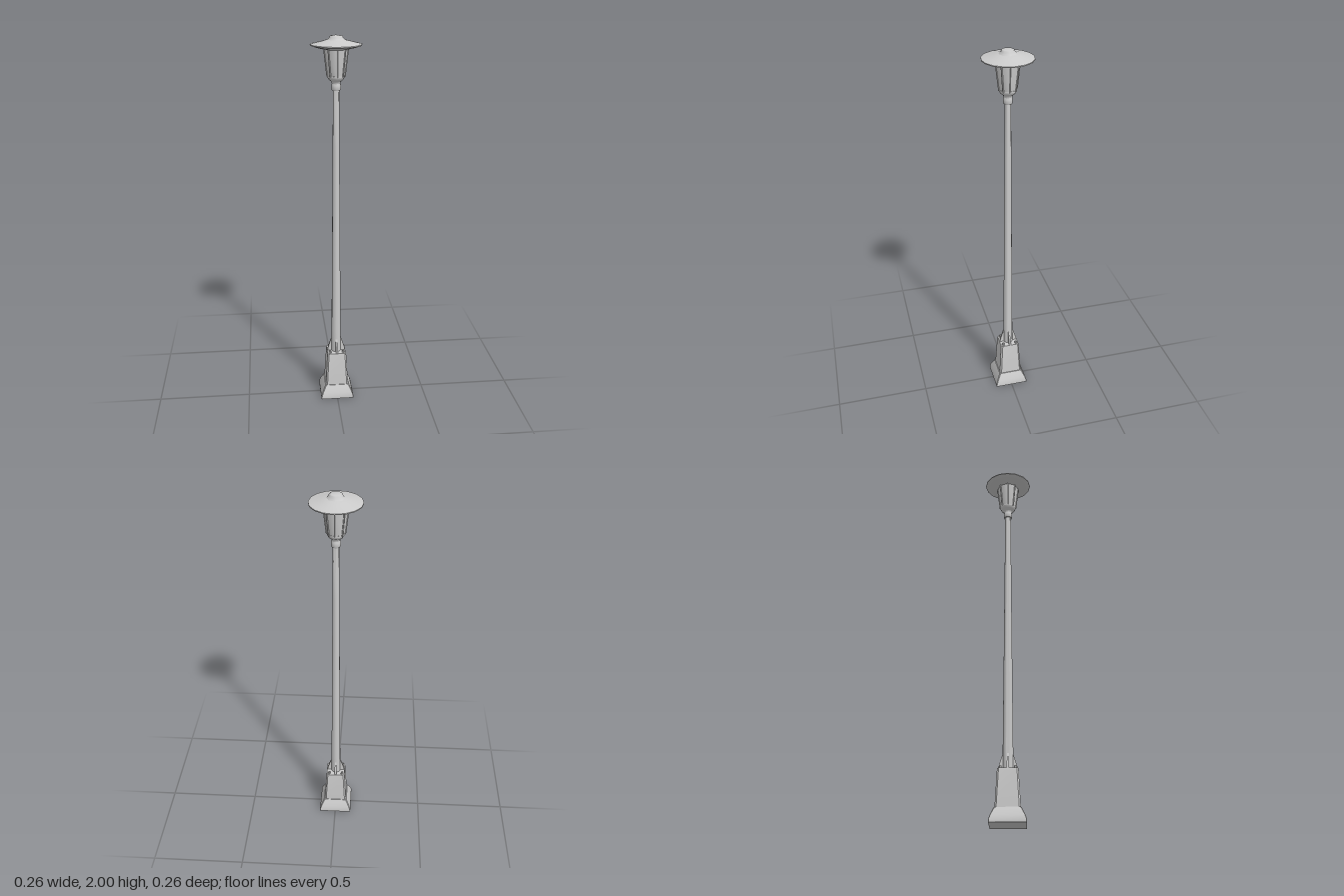
import * as THREE from 'three';
import { toCreasedNormals } from 'three/addons/utils/BufferGeometryUtils.js';

const grey = new THREE.MeshStandardMaterial({ color: 0xcccccc, side: THREE.DoubleSide });

function part(name, geometry, crease = 0.7) {
  const mesh = new THREE.Mesh(toCreasedNormals(geometry, crease), grey);
  mesh.name = name;
  return mesh;
}

// Revolved part from [radius, y] pairs
function turned(name, points, sides, crease) {
  const profile = points.map(([r, y]) => new THREE.Vector2(r, y));
  return part(name, new THREE.LatheGeometry(profile, sides), crease);
}

// Square tapering block with chamfered corners, from [y, half width, chamfer] rows
function squareLoft(name, rows) {
  const positions = [];
  const rings = rows.map(([y, h, c]) => {
    const k = h - c;
    return [[h, -k], [h, k], [k, h], [-k, h], [-h, k], [-h, -k], [-k, -h], [k, -h]]
      .map(([x, z]) => [x, y, z]);
  });
  const tri = (a, b, c) => positions.push(...a, ...b, ...c);
  const last = rings[rings.length - 1];
  for (let i = 0; i < 8; i++) {
    const j = (i + 1) % 8;
    for (let r = 0; r + 1 < rings.length; r++) {
      const lower = rings[r], upper = rings[r + 1];
      tri(lower[i], upper[i], lower[j]);
      tri(lower[j], upper[i], upper[j]);
    }
    tri([0, rows[0][0], 0], rings[0][i], rings[0][j]);
    tri([0, rows[rows.length - 1][0], 0], last[j], last[i]);
  }
  const geometry = new THREE.BufferGeometry();
  geometry.setAttribute('position', new THREE.Float32BufferAttribute(positions, 3));
  return part(name, geometry, 0.6);
}

export function createModel() {
  const lamp = new THREE.Group();
  lamp.name = 'streetLamp';

  // Square foot and tapering plinth
  lamp.add(squareLoft('foot', [
    [0, 0.091, 0.002], [0.012, 0.091, 0.002], [0.035, 0.084, 0.003],
    [0.06, 0.073, 0.004], [0.075, 0.066, 0.005],
  ]));
  lamp.add(squareLoft('plinth', [
    [0.07, 0.063, 0.008], [0.255, 0.053, 0.008], [0.267, 0.051, 0.008],
  ]));

  // Tapering pole
  lamp.add(turned('pole', [[0.027, 0.26], [0.026, 0.4], [0.022, 0.9], [0.018, 1.45], [0.016, 1.745]], 10, 0.9));

  // Fins bracing the pole on each side, and a bolt at each plinth corner
  const finShape = new THREE.Shape([
    [0.015, 0.262], [0.048, 0.262], [0.047, 0.282], [0.035, 0.32], [0.027, 0.345], [0.015, 0.345],
  ].map(([x, y]) => new THREE.Vector2(x, y)));
  const finGeometry = new THREE.ExtrudeGeometry(finShape, { depth: 0.01, bevelEnabled: false });
  finGeometry.translate(0, 0, -0.005);
  for (let i = 0; i < 4; i++) {
    const fin = part('braceFin', finGeometry, 0.4);
    fin.rotation.y = i * Math.PI / 2;
    lamp.add(fin);
    const bolt = part('bolt', new THREE.CylinderGeometry(0.006, 0.008, 0.014, 6));
    const angle = Math.PI / 4 + i * Math.PI / 2;
    bolt.position.set(0.052 * Math.cos(angle), 0.273, 0.052 * Math.sin(angle));
    lamp.add(bolt);
  }

  // Collar and cup beneath the lantern
  lamp.add(turned('collar', [
    [0, 1.735], [0.021, 1.735], [0.024, 1.742], [0.024, 1.76], [0.021, 1.768],
    [0.024, 1.778], [0.036, 1.787], [0.044, 1.8], [0.044, 1.808], [0, 1.808],
  ], 12));

  // Eight-sided lantern glass with a rib along each corner
  const lantern = new THREE.Group();
  lantern.name = 'lantern';
  lantern.add(turned('glass', [[0, 1.8], [0.044, 1.803], [0.059, 1.93], [0.059, 1.945]], 8, 0.9));
  for (let i = 0; i < 8; i++) {
    const angle = i * Math.PI / 4;
    const at = (r, y) => new THREE.Vector3(r * Math.sin(angle), y, r * Math.cos(angle));
    const rail = new THREE.LineCurve3(at(0.044, 1.803), at(0.06, 1.943));
    lantern.add(part('lanternRib', new THREE.TubeGeometry(rail, 1, 0.004, 5)));
  }
  lamp.add(lantern);

  // Wide dished shade with a small knob on top
  lamp.add(turned('shade', [
    [0, 1.936], [0.064, 1.936], [0.1, 1.945], [0.128, 1.954], [0.128, 1.959],
    [0.1, 1.966], [0.07, 1.973], [0.046, 1.98], [0, 1.985],
  ], 16));
  lamp.add(turned('knob', [
    [0.048, 1.977], [0.04, 1.984], [0.034, 1.99], [0.032, 1.997], [0.026, 2], [0, 2],
  ], 8, 1));

  return lamp;
}
